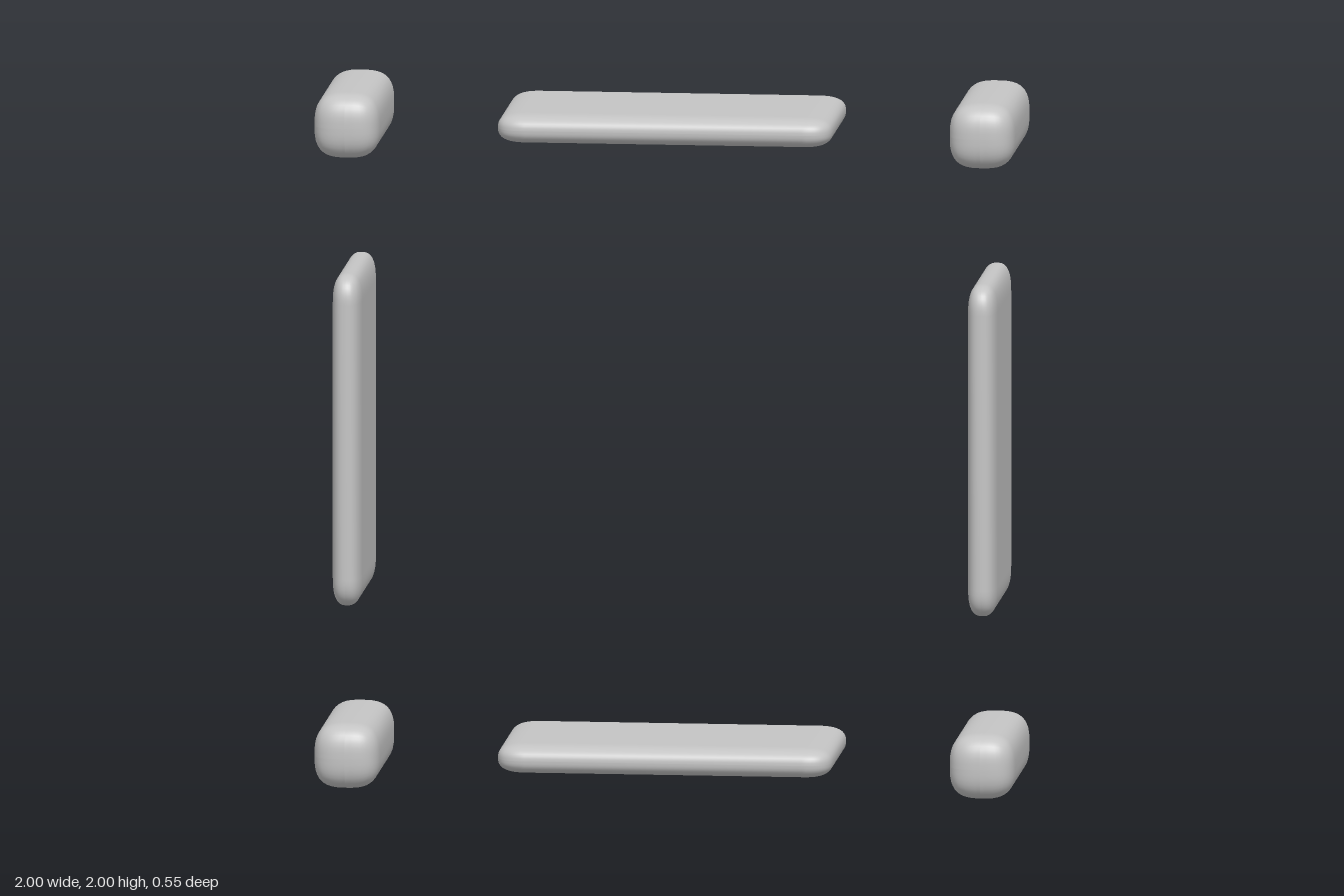
import * as THREE from 'three';
import { RoundedBoxGeometry } from 'three/addons/geometries/RoundedBoxGeometry.js';
import { mergeVertices } from 'three/addons/utils/BufferGeometryUtils.js';

const grey = new THREE.MeshStandardMaterial({ color: 0xc4c4c4 });
grey.name = 'grey';

// Box with soft superellipse edges: corner offsets are pushed out to a p-norm ball
function softBox(w, h, d, r, p) {
  const geo = new RoundedBoxGeometry(w, h, d, 6, r);
  const pos = geo.attributes.position;
  const half = [w / 2 - r, h / 2 - r, d / 2 - r];
  for (let i = 0; i < pos.count; i++) {
    const v = [pos.getX(i), pos.getY(i), pos.getZ(i)];
    const core = v.map((c, k) => Math.sign(c) * half[k]);
    const off = v.map((c, k) => c - core[k]);
    const norm = Math.pow(off.reduce((s, o) => s + Math.pow(Math.abs(o), p), 0), 1 / p);
    const [x, y, z] = off.map((o, k) => core[k] + (o * r) / norm);
    pos.setXYZ(i, x, y, z);
  }
  geo.deleteAttribute('normal');
  geo.deleteAttribute('uv');
  const merged = mergeVertices(geo, 1e-4);
  merged.computeVertexNormals();
  return merged;
}

export function createModel() {
  const model = new THREE.Group();
  model.name = 'openFrame';
  const mid = 1, reach = 0.907;

  const add = (name, geo, x, y) => {
    const mesh = new THREE.Mesh(geo, grey);
    mesh.name = name;
    mesh.position.set(x, y, 0);
    model.add(mesh);
    return mesh;
  };

  // Corner bars running front to back
  const bar = softBox(0.186, 0.186, 0.55, 0.092, 2.9);
  for (const sx of [-1, 1])
    for (const sy of [-1, 1])
      add((sy > 0 ? 'top' : 'bottom') + (sx > 0 ? 'Left' : 'Right') + 'Bar', bar, sx * reach, mid + sy * reach);

  // Thin panels, flattened so their edges taper
  const panel = softBox(0.955, 0.166, 0.515, 0.082, 2.6);
  panel.scale(1, 0.5, 1);
  panel.computeVertexNormals();
  const upright = panel.clone().rotateZ(Math.PI / 2);
  for (const s of [-1, 1]) {
    add(s > 0 ? 'topPanel' : 'bottomPanel', panel, 0, mid + s * reach);
    add(s > 0 ? 'leftPanel' : 'rightPanel', upright, s * reach, mid);
  }
  return model;
}
